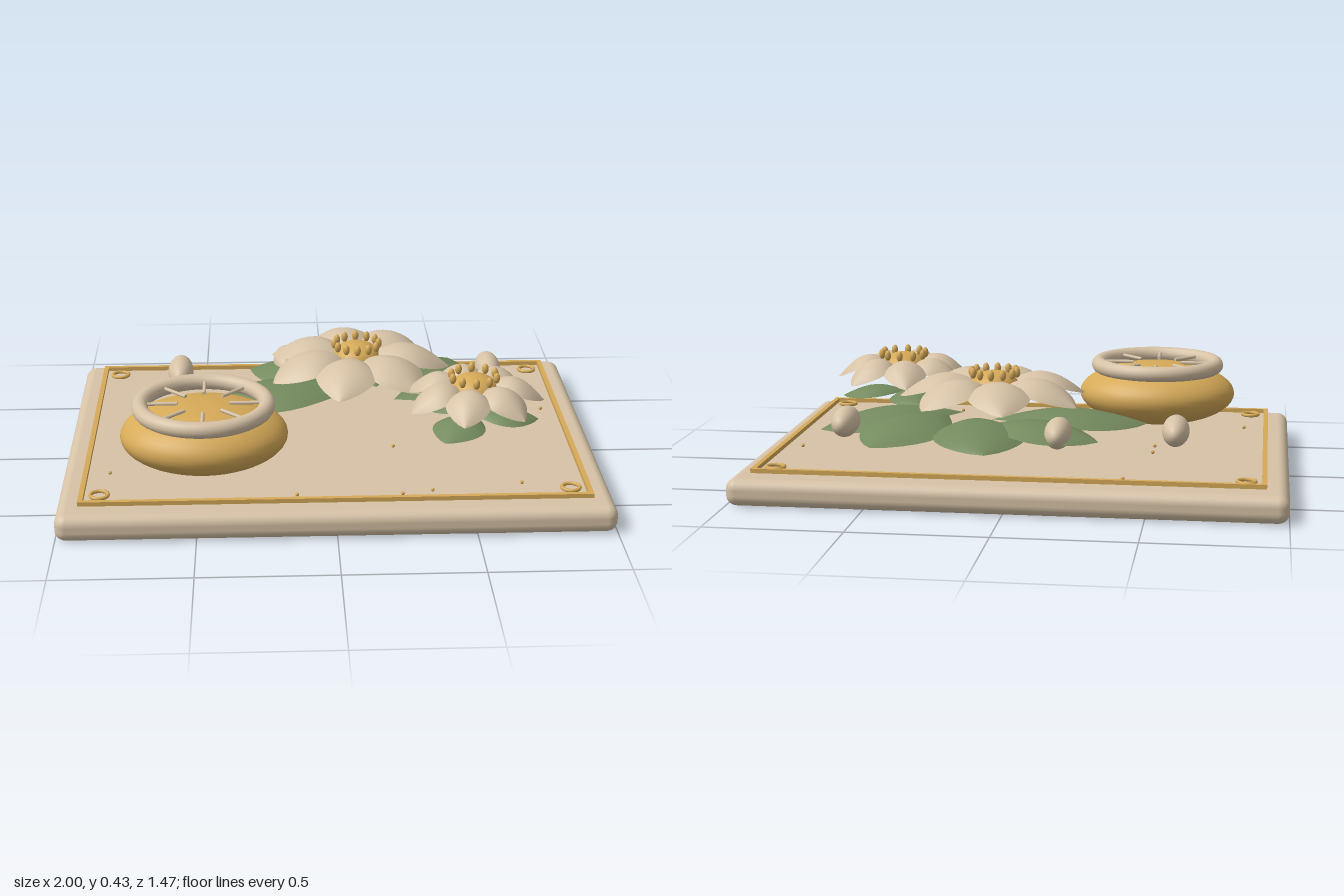
import * as THREE from 'three';
import { RoundedBoxGeometry } from 'three/addons/geometries/RoundedBoxGeometry.js';

const mat = (name, color, side = THREE.FrontSide) => {
  const m = new THREE.MeshStandardMaterial({ color, side });
  m.name = name;
  return m;
};

export function createModel() {
  const cream = mat('cream', 0xd6c2a6);
  const petalCream = mat('petalCream', 0xd6c2a6, THREE.DoubleSide);
  const gold = mat('gold', 0xd6aa58);
  const green = mat('leafGreen', 0x748a5e, THREE.DoubleSide);
  const model = new THREE.Group();
  model.name = 'flowerTray';

  const add = (parent, name, geometry, material, x = 0, y = 0, z = 0) => {
    const mesh = new THREE.Mesh(geometry, material);
    mesh.name = name;
    mesh.position.set(x, y, z);
    parent.add(mesh);
    return mesh;
  };
  const ellipsoid = (rx, ry, rz, seg = 32) =>
    new THREE.SphereGeometry(1, seg, seg / 2).scale(rx, ry, rz);

  // Pointed blade along +x: arched lengthwise, with its edges curving down
  const blade = (length, halfWidth, { start, base, rise, tip, edge, widest }) => {
    const g = new THREE.PlaneGeometry(1, 2, 14, 8).rotateX(-Math.PI / 2);
    const p = g.attributes.position;
    for (let i = 0; i < p.count; i++) {
      const t = p.getX(i) + 0.5;
      const v = p.getZ(i);
      const s = Math.pow(t, Math.log(0.5) / Math.log(widest));
      const w = halfWidth * Math.pow(Math.max(0, Math.sin(Math.PI * s)), 0.85);
      const spine = base + (tip - base) * t * t + rise * Math.sin(Math.PI * t);
      const drop = edge * v * v * (w / halfWidth);
      p.setXYZ(i, start + (length - start) * t, spine - drop, v * w);
    }
    g.computeVertexNormals();
    return g;
  };

  // Tray
  add(model, 'tray', new RoundedBoxGeometry(2, 0.1, 1.47, 4, 0.04), cream, 0, 0.05, 0);

  // Raised border and corner rings
  for (const s of [-1, 1]) {
    add(model, 'borderLong', new THREE.BoxGeometry(1.84, 0.016, 0.018), gold, 0, 0.118, s * 0.65);
    add(model, 'borderShort', new THREE.BoxGeometry(0.018, 0.016, 1.3), gold, s * 0.911, 0.118, 0);
    for (const k of [-1, 1]) {
      add(model, 'cornerRing', new THREE.TorusGeometry(0.032, 0.007, 8, 28).rotateX(Math.PI / 2),
        gold, s * 0.848, 0.117, k * 0.58);
    }
  }

  // Gold flecks scattered on the tray
  const flecks = [[-0.41, -0.55], [0.07, -0.6], [0.85, -0.18], [-0.49, -0.12], [-0.49, -0.01], [0.235, 0.165],
    [-0.825, 0.37], [0.68, 0.51], [0.35, 0.56], [0.24, 0.585], [-0.14, 0.58], [0.54, 0.61]];
  for (const [x, z] of flecks) add(model, 'fleck', new THREE.SphereGeometry(0.007, 8, 6), gold, x, 0.106, z);

  // Bowl with rim and radial rods
  const bowl = new THREE.Group();
  bowl.name = 'bowl';
  bowl.position.set(-0.475, 0, 0.345);
  model.add(bowl);
  add(bowl, 'bowlBody', ellipsoid(0.308, 0.123, 0.26, 48), gold, 0, 0.248, 0);
  add(bowl, 'bowlRim', new THREE.TorusGeometry(0.232, 0.03, 16, 56).rotateX(Math.PI / 2), cream, 0, 0.361, 0);
  for (let i = 0; i < 8; i++) {
    const spoke = new THREE.Group();
    spoke.name = 'bowlSpoke';
    spoke.rotation.y = i * Math.PI / 4;
    bowl.add(spoke);
    add(spoke, 'spokeRod', new THREE.CylinderGeometry(0.007, 0.007, 0.11, 8).rotateZ(Math.PI / 2),
      cream, 0.15, 0.368, 0);
  }

  // Flowers: seven arched petals, a domed heart and a ring of stamens
  const flower = (name, x, z, radius, halfWidth, stamens) => {
    const g = new THREE.Group();
    g.name = name;
    g.position.set(x, 0, z);
    model.add(g);
    const petal = blade(radius, halfWidth,
      { start: 0.03, base: 0.345, rise: 0.062, tip: 0.305, edge: 0.045, widest: 0.54 });
    for (let i = 0; i < 7; i++) {
      add(g, 'petal', petal, petalCream).rotation.y = -i * Math.PI * 2 / 7;
    }
    add(g, 'flowerHeart', ellipsoid(0.094, 0.062, 0.094), gold, 0, 0.35, 0);
    for (let i = 0; i < stamens; i++) {
      const a = i * Math.PI * 2 / stamens + Math.PI / 2;
      add(g, 'stamen', ellipsoid(0.013, 0.021, 0.013, 12), gold,
        0.086 * Math.cos(a), 0.406, 0.086 * Math.sin(a));
    }
    return g;
  };
  flower('largeFlower', 0.11, -0.15, 0.365, 0.118, 12);
  const small = flower('smallFlower', 0.53, 0.21, 0.268, 0.085, 10);

  // Three leaves beneath the small flower
  const smallLeaf = blade(0.25, 0.1,
    { start: 0, base: 0.255, rise: 0.025, tip: 0.228, edge: 0.035, widest: 0.5 });
  for (let i = 0; i < 3; i++) add(small, 'smallLeaf', smallLeaf, green).rotation.y = i * Math.PI * 2 / 3;

  // Broad leaves beneath the large flower: base x, z, tip x, z, half width
  const leaves = [
    [0.12, -0.14, -0.465, -0.06, 0.17], [0.14, -0.27, -0.31, -0.41, 0.16], [0.19, -0.15, 0.08, -0.61, 0.17],
    [0.3, -0.08, 0.51, -0.54, 0.17], [0.25, -0.02, 0.76, -0.26, 0.18]];
  leaves.forEach(([bx, bz, tx, tz, w], i) => {
    const leaf = blade(Math.hypot(tx - bx, tz - bz), w,
      { start: 0, base: 0.22, rise: 0.045, tip: 0.188 + (i < 2 ? 0.015 : 0), edge: 0.045, widest: 0.56 });
    add(model, 'leaf', leaf, green, bx, 0, bz).rotation.y = -Math.atan2(tz - bz, tx - bx);
  });

  // Smooth pebbles
  for (const [x, z] of [[-0.585, -0.315], [-0.163, -0.41], [0.648, -0.31]]) {
    add(model, 'pebble', ellipsoid(0.05, 0.056, 0.107), cream, x, 0.234, z);
  }
  return model;
}
